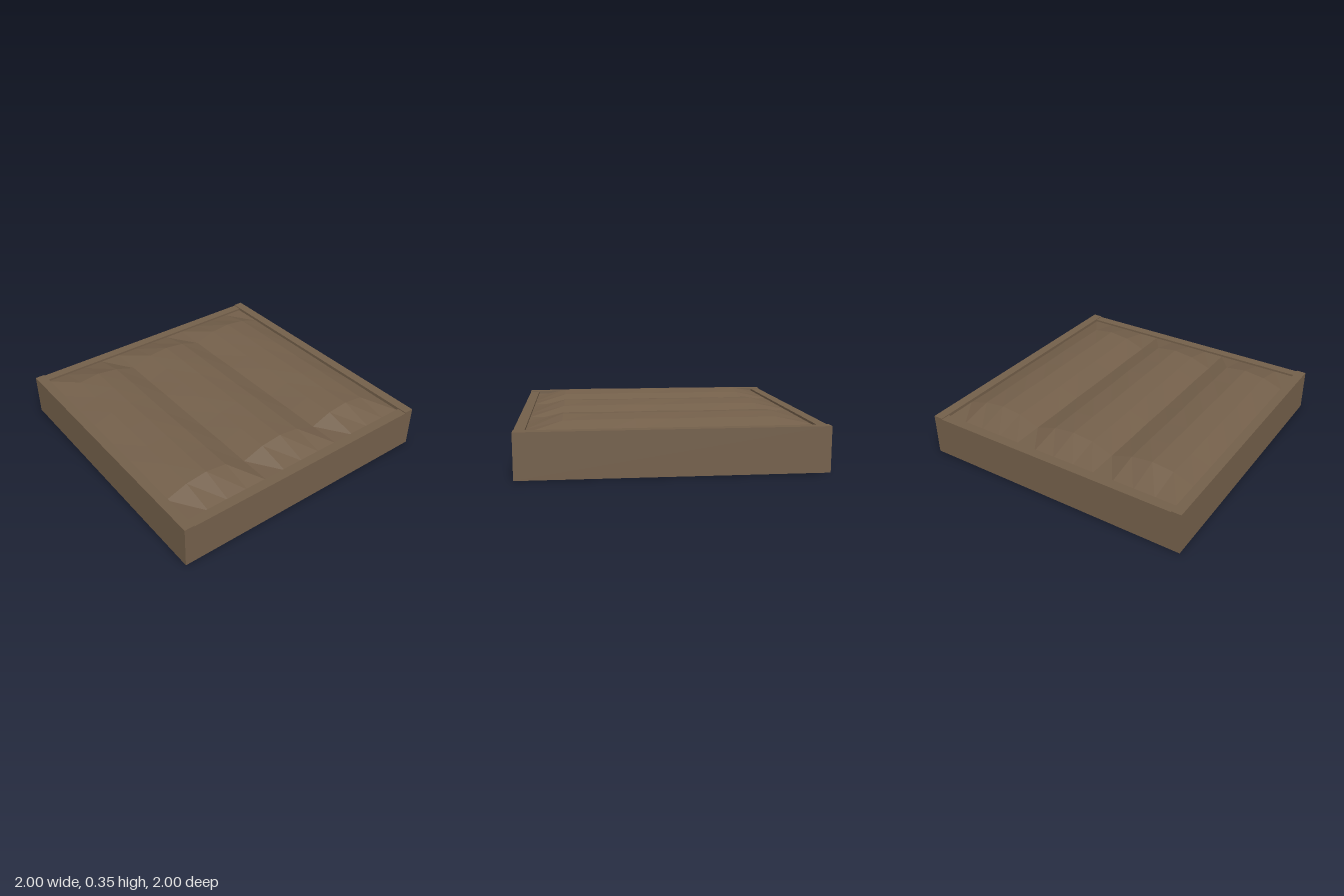
import * as THREE from 'three';

export function createModel() {
  const model = new THREE.Group();
  model.name = 'raisedBed';

  const wood = new THREE.MeshStandardMaterial({ color: 0x735f4a });
  wood.name = 'brown wood';
  const earth = new THREE.MeshStandardMaterial({ color: 0x735f4a, flatShading: true, side: THREE.DoubleSide });
  earth.name = 'brown soil';

  const T = 0.07; // board thickness

  function board(name, w, h, d, x, z) {
    const mesh = new THREE.Mesh(new THREE.BoxGeometry(w, h, d), wood);
    mesh.name = name;
    mesh.position.set(x, h / 2, z);
    model.add(mesh);
  }

  // Frame: end boards run the full width, side boards fit between them
  board('frontBoard', 2, 0.302, T, 0, 1 - T / 2);
  board('backBoard', 2, 0.302, T, 0, -1 + T / 2);
  board('leftBoard', T, 0.295, 2 - 2 * T, 1 - T / 2, 0);
  board('rightBoard', T, 0.295, 2 - 2 * T, -1 + T / 2, 0);

  // Soil sheet with three furrowed ridges that flatten out at the edges
  const half = 1 - T, cols = 8, rows = 12;
  const geo = new THREE.PlaneGeometry(2 * half, 2 * half, cols, rows);
  geo.rotateX(-Math.PI / 2);
  const pos = geo.attributes.position;
  const rise = [0, 0.053, 0.07, 0.053]; // one ridge, valley to valley
  for (let i = 0; i < pos.count; i++) {
    const c = i % (cols + 1), r = Math.floor(i / (cols + 1));
    const edge = c === 0 || c === cols;
    const lump = 0.002 * Math.sin(c * 2.3 + r * 1.7);
    pos.setY(i, edge ? 0.28 : 0.28 + rise[r % 4] + lump);
  }
  geo.computeVertexNormals();
  const soil = new THREE.Mesh(geo, earth);
  soil.name = 'soil';
  model.add(soil);

  return model;
}
